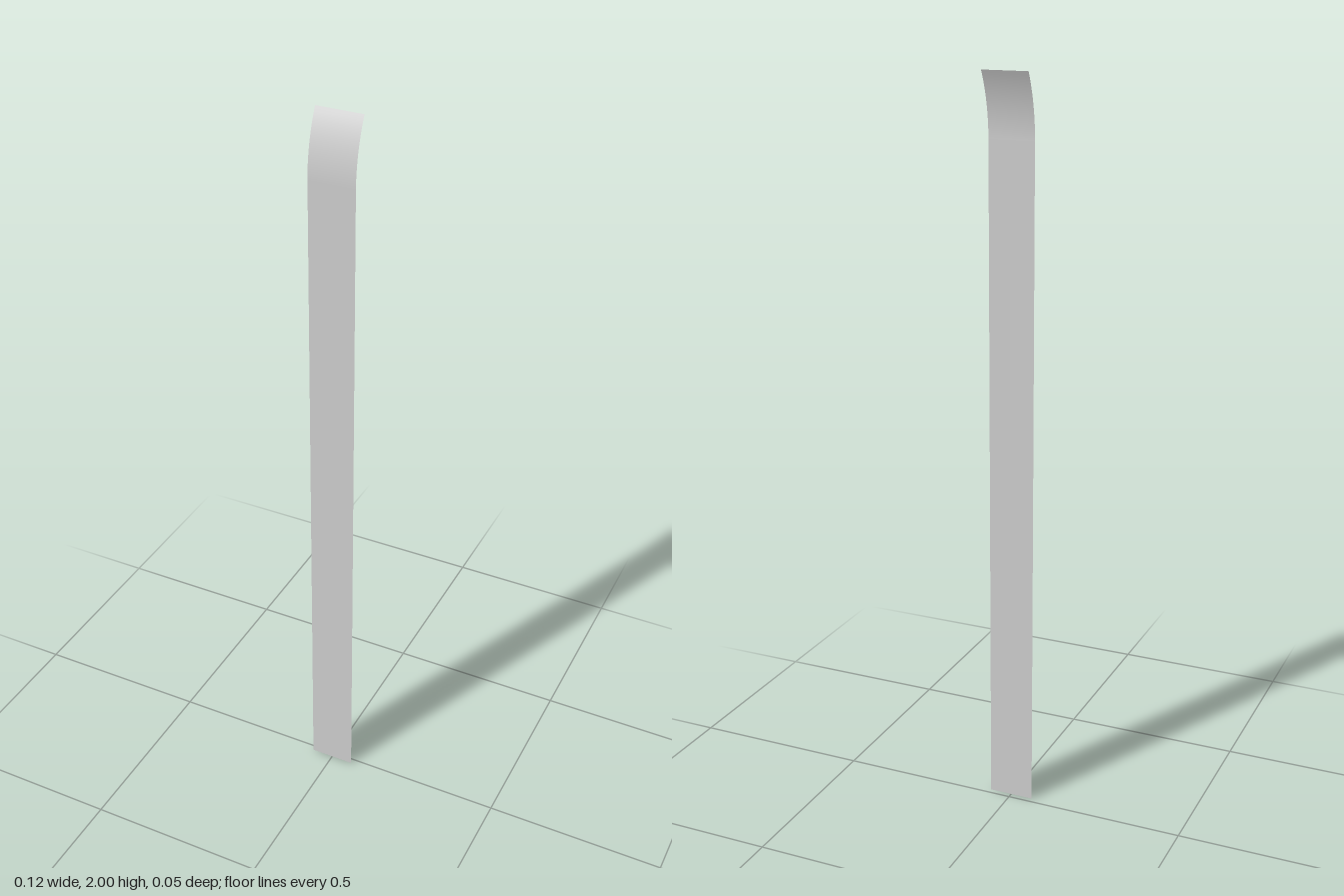
import * as THREE from 'three';

const HALF_WIDTH = 0.0625, FRONT_Z = 0.016;
const BEND_Y = 1.83, BEND_RADIUS = 0.365, BEND_ANGLE = 0.484, BEND_STEPS = 12;

// Thin sheet: straight up, then curling backwards along an arc at the top
function stripGeometry() {
  const geometry = new THREE.PlaneGeometry(2 * HALF_WIDTH, 1, 1, BEND_STEPS + 1);
  const pos = geometry.attributes.position;
  for (let i = 0; i < pos.count; i++) {
    const row = BEND_STEPS + 1 - Math.floor(i / 2); // 0 is the bottom row
    const a = Math.max(0, row - 1) / BEND_STEPS * BEND_ANGLE;
    const y = row === 0 ? 0 : BEND_Y + BEND_RADIUS * Math.sin(a);
    pos.setY(i, Math.min(2, y));
    pos.setZ(i, FRONT_Z - BEND_RADIUS * (1 - Math.cos(a)));
  }
  geometry.computeVertexNormals();
  return geometry;
}

// Flat tapered marker, measured from its own centre
function markerGeometry() {
  const right = [[0.011, 0.057], [0.007, 0.01], [0.002, -0.057]];
  const left = right.map(([x, y]) => [-x, y]).reverse();
  return new THREE.ShapeGeometry(
    new THREE.Shape([...right, ...left].map(([x, y]) => new THREE.Vector2(x, y))));
}

export function createModel() {
  const model = new THREE.Group();
  const material = new THREE.MeshStandardMaterial({ color: 0xcccccc, side: THREE.DoubleSide });

  const strip = new THREE.Mesh(stripGeometry(), material);
  strip.name = 'strip';
  model.add(strip);

  // Three markers floating just in front of the strip
  const markerShape = markerGeometry();
  for (let i = 0; i < 3; i++) {
    const marker = new THREE.Mesh(markerShape, material);
    marker.name = 'marker' + (i + 1);
    marker.position.set(-0.001, 0.345 + i * 0.666, 0.026);
    model.add(marker);
  }
  return model;
}
